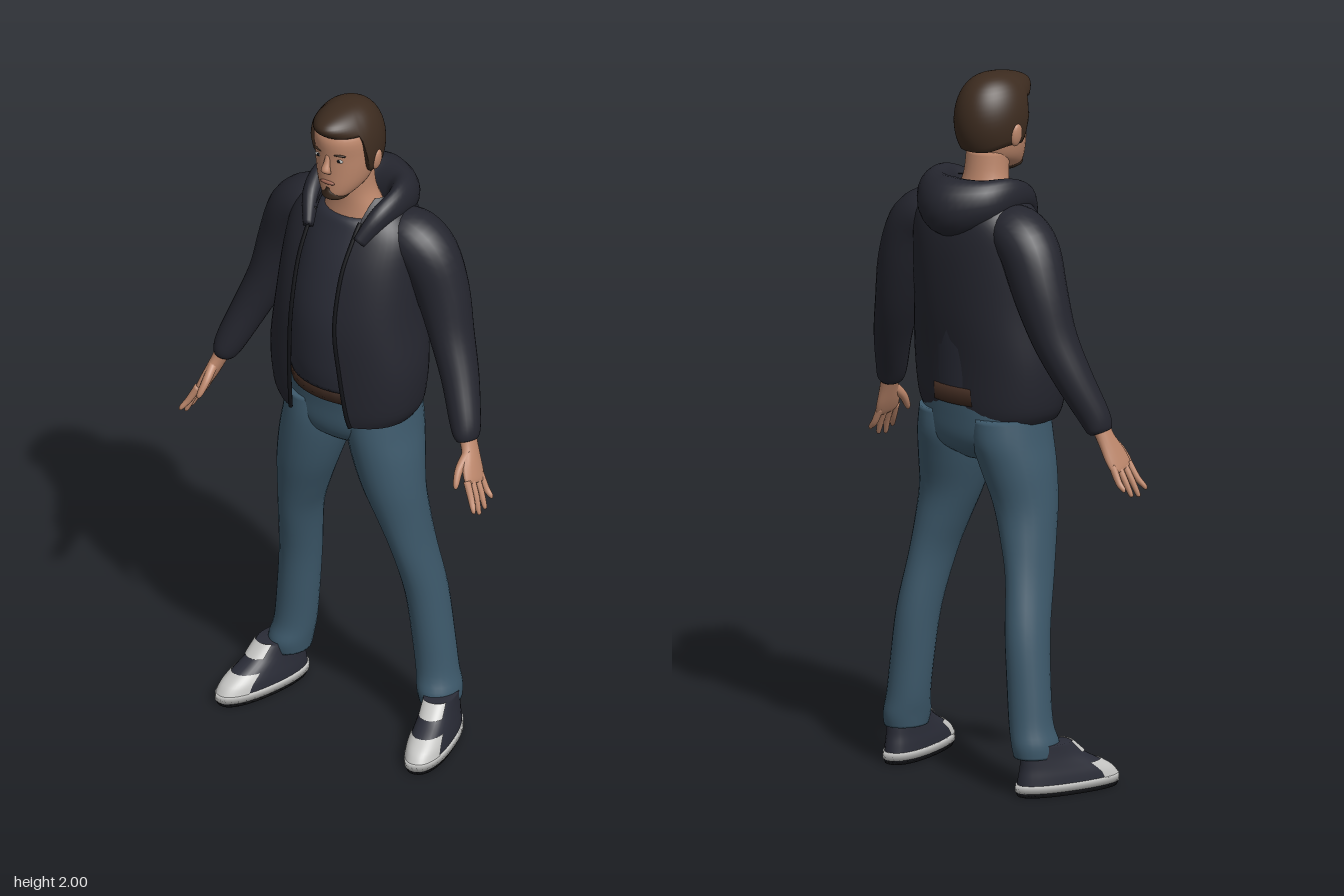
import * as THREE from 'three';

const mat = (name, color, side = THREE.FrontSide) => {
  const m = new THREE.MeshStandardMaterial({ color, side });
  m.name = name;
  return m;
};
const M = {
  skin: mat('skin', 0xbe886c),
  hair: mat('brown hair', 0x3c2b1f, THREE.DoubleSide),
  jacket: mat('dark jacket', 0x25262f, THREE.DoubleSide),
  shirt: mat('charcoal shirt', 0x2a2c37, THREE.DoubleSide),
  jeans: mat('blue jeans', 0x3d596b),
  belt: mat('brown belt', 0x3f2a20),
  white: mat('off white', 0xc6c6c4, THREE.DoubleSide),
  black: mat('black', 0x111216),
  lips: mat('lips', 0x9c6452),
};

const Y = new THREE.Vector3(0, 1, 0), Z = new THREE.Vector3(0, 0, 1);

// Catmull-Rom resampling of rows of numbers
function resample(rows, sub) {
  const out = [], last = rows.length - 1;
  for (let k = 0; k <= last * sub; k++) {
    const i = Math.min(Math.floor(k / sub), last - 1), t = k / sub - i;
    const [p, a, b, q] = [rows[Math.max(i - 1, 0)], rows[i], rows[i + 1], rows[Math.min(i + 2, last)]];
    out.push(a.map((v, c) => v + 0.5 * t * (b[c] - p[c] + t * (2 * p[c] - 5 * v + 4 * b[c] - q[c]
      + t * (3 * (v - b[c]) + q[c] - p[c])))));
  }
  return out;
}

// Skin through rings [x, y, z, depthRadius, widthRadius, ...]; flat keeps every ring level
function loft(rows, { n = 24, sub = 4, flat = false, pow = 2, up = Z, arc = null } = {}) {
  const R = resample(rows, sub), pos = [], idx = [];
  const P = R.map(r => new THREE.Vector3(r[0], r[1], r[2]));
  const cols = arc ? n + 1 : n;
  const sp = v => Math.sign(v) * Math.abs(v) ** (2 / pow);
  R.forEach((r, i) => {
    const d = P[Math.min(i + 1, P.length - 1)].clone().sub(P[Math.max(i - 1, 0)]);
    if (flat) d.set(0, Math.sign(d.y), 0);
    d.normalize();
    const U = up.clone().addScaledVector(d, -up.dot(d)).normalize();
    const V = d.clone().cross(U);
    const [a0, a1] = arc ? arc(r) : [0, 2 * Math.PI];
    for (let j = 0; j < cols; j++) {
      const a = a0 + (a1 - a0) * j / n;
      const p = P[i].clone().addScaledVector(U, r[3] * sp(Math.cos(a))).addScaledVector(V, r[4] * sp(Math.sin(a)));
      pos.push(p.x, p.y, p.z);
    }
  });
  for (let i = 0; i < R.length - 1; i++) for (let j = 0; j < n; j++) {
    const a = i * cols + j, b = i * cols + (j + 1) % cols;
    idx.push(a, b, a + cols, b, b + cols, a + cols);
  }
  if (!arc) { // end caps
    const c = pos.length / 3, e = (R.length - 1) * n;
    pos.push(...P[0].toArray(), ...P[P.length - 1].toArray());
    for (let j = 0; j < n; j++) idx.push(c, (j + 1) % n, j, c + 1, e + j, e + (j + 1) % n);
  }
  const g = new THREE.BufferGeometry();
  g.setAttribute('position', new THREE.Float32BufferAttribute(pos, 3));
  g.setIndex(idx);
  g.computeVertexNormals();
  return g;
}

function add(parent, name, geo, material) {
  const m = new THREE.Mesh(geo, material);
  m.name = name;
  parent.add(m);
  return m;
}
function blob(parent, name, material, p, s) {
  const m = add(parent, name, new THREE.SphereGeometry(1, 16, 12), material);
  m.position.set(...p);
  m.scale.set(...s);
  return m;
}
const mirror = (rows, s) => rows.map(([x, ...rest]) => [x * s, ...rest]);
const level = rows => rows.map(([y, z, rz, rx, ...rest]) => [0, y, z, rz, rx, ...rest]);

// Hair cap whose lower edge follows the hairline, with a raised fringe
function hairGeometry() {
  const pos = [], idx = [], n = 72, rows = 16, ss = THREE.MathUtils.smoothstep;
  for (let i = 0; i <= rows + 1; i++) for (let j = 0; j < n; j++) {
    const a = j / n * 2 * Math.PI, deg = Math.min(j, n - j) / n * 360;
    const t = Math.min(i / rows, 1), k = i > rows ? 0.86 : 1;
    const phi = (60 + 57 * ss(deg, 60, 80) + 10 * ss(deg, 100, 150)) * Math.PI / 180 * t;
    const w = Math.sin(phi) ** 0.8 * k, front = Math.max(0, Math.cos(a)) ** 2;
    pos.push(0.1 * w * Math.sin(a), 1.87 + 0.13 * Math.cos(phi),
      0.045 + 0.122 * w * Math.cos(a) + 0.035 * front * Math.sin(Math.PI * t ** 1.7));
  }
  for (let i = 0; i <= rows; i++) for (let j = 0; j < n; j++) {
    const a = i * n + j, b = i * n + (j + 1) % n;
    idx.push(a, a + n, b, b, a + n, b + n);
  }
  const g = new THREE.BufferGeometry();
  g.setAttribute('position', new THREE.Float32BufferAttribute(pos, 3));
  g.setIndex(idx);
  g.computeVertexNormals();
  return g;
}

function buildHead(root) {
  const head = new THREE.Group();
  head.name = 'head';
  root.add(head);
  add(head, 'neck', loft(level([[1.58, 0, 0.08, 0.11], [1.66, 0.005, 0.067, 0.087], [1.72, 0.015, 0.06, 0.066],
    [1.79, 0.025, 0.06, 0.064]]), { flat: true }), M.skin);
  add(head, 'face', loft(level([[1.724, 0.1, 0.025, 0.022], [1.74, 0.085, 0.055, 0.045], [1.77, 0.06, 0.083, 0.067],
    [1.81, 0.05, 0.093, 0.079], [1.86, 0.045, 0.099, 0.085], [1.92, 0.045, 0.102, 0.086],
    [1.96, 0.04, 0.075, 0.064], [1.98, 0.04, 0.03, 0.026]]), { flat: true, n: 32 }), M.skin);
  add(head, 'nose', loft([[0, 1.875, 0.138, 0.006, 0.007], [0, 1.85, 0.146, 0.008, 0.009],
    [0, 1.828, 0.152, 0.013, 0.014], [0, 1.816, 0.145, 0.009, 0.013]], { flat: true, n: 14 }), M.skin);
  blob(head, 'mouth', M.lips, [0, 1.784, 0.143], [0.024, 0.006, 0.006]);
  add(head, 'goatee', loft(level([[1.718, 0.1, 0.022, 0.018], [1.73, 0.1, 0.043, 0.037], [1.745, 0.103, 0.043, 0.034],
    [1.758, 0.12, 0.027, 0.014], [1.768, 0.13, 0.018, 0.007]]), { flat: true }), M.hair);
  add(head, 'hair', hairGeometry(), M.hair);
  for (const s of [-1, 1]) {
    blob(head, 'eye', M.white, [0.034 * s, 1.859, 0.1345], [0.013, 0.005, 0.004]);
    blob(head, 'iris', M.black, [0.034 * s, 1.859, 0.1375], [0.005, 0.005, 0.0025]);
    blob(head, 'eyebrow', M.hair, [0.036 * s, 1.877, 0.136], [0.019, 0.0035, 0.004]).rotation.y = 0.3 * s;
    blob(head, 'ear', M.skin, [0.094 * s, 1.838, 0.038], [0.011, 0.033, 0.02]).rotation.z = -0.15 * s;
  }
}

function buildTorso(root) {
  add(root, 'shirt', loft(level([[1.125, 0.02, 0.148, 0.18], [1.2, 0.022, 0.156, 0.19], [1.35, 0.015, 0.162, 0.185],
    [1.5, 0, 0.142, 0.165], [1.6, -0.005, 0.107, 0.14], [1.635, 0, 0.085, 0.105], [1.645, 0, 0.062, 0.08]]),
  { flat: true, n: 32 }), M.shirt);
  add(root, 'belt', loft(level([[1.085, 0.015, 0.143, 0.183], [1.135, 0.015, 0.147, 0.183]]),
    { flat: true, n: 32, sub: 1 }), M.belt);

  // Open jacket; the last two values are the opening on its left and right
  const pow = 2.3, edge = (g, rx) => Math.asin(Math.min(1, (g / rx) ** (pow / 2)));
  const shell = loft(level([[1.035, 0.037, 0.148, 0.2, 0.095, 0.105], [1.08, 0.035, 0.156, 0.222, 0.088, 0.1],
    [1.2, 0.032, 0.163, 0.233, 0.072, 0.1], [1.35, 0.022, 0.172, 0.217, 0.055, 0.096],
    [1.5, 0.002, 0.16, 0.208, 0.055, 0.095], [1.6, -0.015, 0.135, 0.195, 0.065, 0.088],
    [1.66, -0.02, 0.105, 0.15, 0.072, 0.082], [1.7, -0.02, 0.07, 0.1, 0.08, 0.08]]),
  { flat: true, n: 48, pow, arc: r => [edge(r[5], r[4]), 2 * Math.PI - edge(r[6], r[4])] });
  add(root, 'jacketBody', shell, M.jacket);

  // Zipper edging along both free edges
  const at = shell.attributes.position;
  for (const col of [0, 48]) {
    const pts = [];
    for (let k = col; k < at.count - 49 * 5; k += 49) pts.push(new THREE.Vector3().fromBufferAttribute(at, k));
    add(root, 'jacketZipper', new THREE.TubeGeometry(new THREE.CatmullRomCurve3(pts), 40, 0.006, 8), M.black);
  }

  // Hood lying round the neck and down the back
  const half = [[0.085, 1.6, 0.112, 0.022, 0.015], [0.113, 1.66, 0.055, 0.035, 0.026],
    [0.124, 1.68, -0.02, 0.05, 0.031], [0.09, 1.667, -0.095, 0.066, 0.05]];
  add(root, 'hood', loft([...half, [0, 1.65, -0.132, 0.085, 0.072], ...mirror(half, -1).reverse()],
    { up: Y, n: 20, sub: 6 }), M.jacket);

  add(root, 'jeansHips', loft(level([[0.915, 0.01, 0.06, 0.05], [0.95, 0.01, 0.11, 0.14], [0.99, 0.01, 0.128, 0.195],
    [1.05, 0.01, 0.132, 0.195], [1.1, 0.012, 0.135, 0.183]]), { flat: true, n: 32, pow: 2.2 }), M.jeans);
}

function buildArm(root, s) {
  const arm = new THREE.Group();
  arm.name = s > 0 ? 'leftArm' : 'rightArm';
  root.add(arm);
  const part = (name, rows, m, o) => add(arm, name, loft(mirror(rows, s), o), m);
  part('sleeve', [[0.12, 1.6, -0.025, 0.07, 0.06], [0.17, 1.585, -0.03, 0.085, 0.075], [0.22, 1.535, -0.035, 0.085, 0.083],
    [0.262, 1.43, -0.038, 0.076, 0.077], [0.302, 1.31, -0.025, 0.066, 0.062], [0.348, 1.2, 0.002, 0.056, 0.052],
    [0.388, 1.1, 0.038, 0.046, 0.044], [0.402, 1.06, 0.05, 0.042, 0.036], [0.407, 1.045, 0.053, 0.034, 0.028]], M.jacket);
  part('palm', [[0.402, 1.07, 0.05, 0.028, 0.023], [0.42, 1.025, 0.06, 0.03, 0.02], [0.438, 0.98, 0.075, 0.04, 0.017],
    [0.452, 0.948, 0.085, 0.041, 0.013], [0.457, 0.938, 0.088, 0.034, 0.009]], M.skin, { n: 18 });
  const fingers = [[0.117, 0.143, 0.878], [0.097, 0.116, 0.862], [0.075, 0.088, 0.866], [0.055, 0.058, 0.885]];
  for (const [z0, z1, y] of fingers) {
    part('finger', [[0.449, 0.955, z0, 0.011, 0.011], [0.472, 0.91, (z0 + z1) / 2, 0.0095, 0.0095],
      [0.488, y + 0.008, z1, 0.007, 0.007], [0.491, y, z1, 0.003, 0.003]], M.skin, { n: 10 });
  }
  part('thumb', [[0.424, 1.02, 0.075, 0.016, 0.014], [0.422, 0.985, 0.115, 0.013, 0.012], [0.428, 0.95, 0.14, 0.009, 0.009],
    [0.431, 0.938, 0.146, 0.004, 0.004]], M.skin, { n: 10 });
}

function buildLeg(root, s) {
  const leg = new THREE.Group();
  leg.name = s > 0 ? 'leftLeg' : 'rightLeg';
  root.add(leg);
  add(leg, 'jeansLeg', loft(mirror([[0.1, 1.05, 0.01, 0.125, 0.095], [0.105, 0.98, 0.012, 0.128, 0.1],
    [0.12, 0.9, 0.02, 0.115, 0.099], [0.142, 0.8, 0.025, 0.096, 0.087], [0.166, 0.7, 0.012, 0.086, 0.07],
    [0.188, 0.6, -0.005, 0.079, 0.057], [0.21, 0.45, -0.036, 0.07, 0.057], [0.226, 0.3, -0.047, 0.064, 0.059],
    [0.237, 0.2, -0.05, 0.065, 0.059], [0.248, 0.145, -0.045, 0.074, 0.06], [0.251, 0.108, -0.045, 0.068, 0.056]], s),
  { flat: true }), M.jeans);

  const shoe = new THREE.Group();
  shoe.name = 'shoe';
  shoe.position.set(0.287 * s, 0, 0.042);
  shoe.rotation.y = 0.25 * s;
  leg.add(shoe);
  const o = { flat: true, n: 32, pow: 2.3 };
  const wide = (deg, out) => ({ ...o, n: 20, arc: () => [-deg * Math.PI / 180, deg * Math.PI / 180] });
  const upper = [[0.03, 0, 0.158, 0.056], [0.055, -0.008, 0.146, 0.054], [0.08, -0.025, 0.124, 0.05],
    [0.11, -0.05, 0.096, 0.046], [0.145, -0.066, 0.073, 0.044]];
  const grown = (rows, e) => level(rows.map(([y, z, rz, rx]) => [y + e / 2, z, rz + e, rx + e]));
  add(shoe, 'shoeUpper', loft(level(upper), o), M.shirt);
  add(shoe, 'outsole', loft(level([[0, 0, 0.156, 0.054], [0.014, 0, 0.162, 0.059]]), { ...o, sub: 1 }), M.black);
  add(shoe, 'soleBand', loft(level([[0.013, 0, 0.163, 0.06], [0.034, 0, 0.162, 0.059]]), { ...o, sub: 1 }), M.white);
  add(shoe, 'toeCap', loft(grown(upper.slice(0, 3), 0.003), wide(58)), M.white);
  add(shoe, 'laces', loft(grown(upper.slice(3), 0.004), wide(42)), M.white);
}

export function createModel() {
  const root = new THREE.Group();
  root.name = 'standingMan';
  buildHead(root);
  buildTorso(root);
  for (const s of [-1, 1]) {
    buildArm(root, s);
    buildLeg(root, s);
  }
  return root;
}
